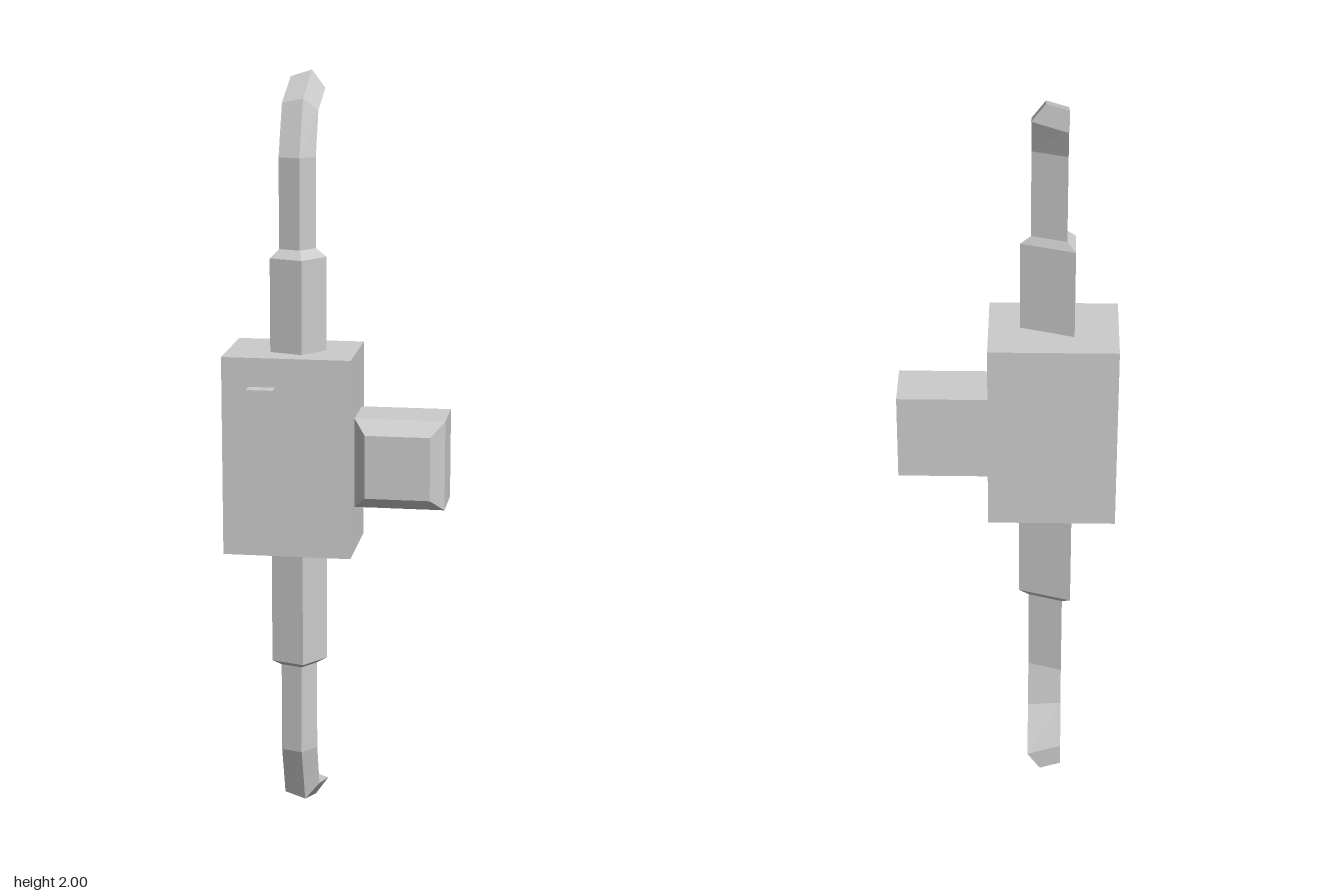
import * as THREE from 'three';

const material = new THREE.MeshStandardMaterial({ color: 0xcccccc, flatShading: true });

// Joins cross-sections of equal corner count, listed from bottom to top, into a closed solid
function loft(rings) {
  const pos = [];
  const tri = (...points) => points.forEach((p) => pos.push(...p));
  const n = rings[0].length;
  for (let i = 0; i + 1 < rings.length; i++) {
    for (let j = 0; j < n; j++) {
      const k = (j + 1) % n;
      const [a, b, c, d] = [rings[i][j], rings[i][k], rings[i + 1][k], rings[i + 1][j]];
      tri(a, d, b);
      tri(b, d, c);
    }
  }
  const first = rings[0], last = rings[rings.length - 1];
  for (let j = 1; j + 1 < n; j++) {
    tri(first[0], first[j], first[j + 1]);
    tri(last[0], last[j + 1], last[j]);
  }
  const geometry = new THREE.BufferGeometry();
  geometry.setAttribute('position', new THREE.Float32BufferAttribute(pos, 3));
  geometry.computeVertexNormals();
  return geometry;
}

// Pipe section: four corners of a pentagon (flat back), sheared between its front and back points
function pipeRing([radius, yFront, zFront, yBack, zBack]) {
  const zMax = Math.sin(Math.PI * 0.4), zMin = Math.sin(Math.PI * 1.2);
  return [0, 1, 2, 3].map((i) => {
    const a = i * Math.PI * 0.4;
    const t = (Math.sin(a) - zMin) / (zMax - zMin);
    return [
      -0.109 + radius * Math.cos(a),
      THREE.MathUtils.lerp(yBack, yFront, t),
      THREE.MathUtils.lerp(zBack, zFront, t),
    ];
  });
}

const sleeve = (y) => [0.077, y, 0.087, y, -0.031];
const pipe = (y) => [0.05, y, 0.062, y, -0.015];

export function createModel() {
  const group = new THREE.Group();
  const add = (name, geometry) => {
    const mesh = new THREE.Mesh(geometry, material);
    mesh.name = name;
    group.add(mesh);
    return mesh;
  };
  // Box given by its extents on each axis
  const box = (name, [x0, x1], [y0, y1], [z0, z1]) =>
    add(name, new THREE.BoxGeometry(x1 - x0, y1 - y0, z1 - z0))
      .position.set((x0 + x1) / 2, (y0 + y1) / 2, (z0 + z1) / 2);

  box('housing', [-0.284, 0.048], [0.78, 1.3], [-0.11, 0.14]);
  box('button', [-0.214, -0.145], [1.12, 1.225], [0.14, 0.178]);

  // Side block with a bevelled front
  const rect = (x0, x1, y0, y1, z) => [[x0, y0, z], [x0, y1, z], [x1, y1, z], [x1, y0, z]];
  add('sideBlock', loft([
    rect(0.048, 0.282, 0.9, 1.135, -0.072),
    rect(0.048, 0.282, 0.9, 1.135, 0.068),
    rect(0.08, 0.248, 0.934, 1.1, 0.11),
  ]));

  // Upper pipe: sleeve, shoulder, straight run, backward hook
  add('upperPipe', loft([
    sleeve(1.3), sleeve(1.542), pipe(1.564), pipe(1.797),
    [0.05, 1.94, 0.0, 1.888, -0.047],
    [0.05, 2.0, -0.146, 1.925, -0.146],
  ].map(pipeRing)));

  // Lower pipe, from the hook end up to the housing
  add('lowerPipe', loft([
    [0.05, 0.0, -0.18, 0.08, -0.18],
    [0.05, 0.06, 0.007, 0.117, -0.04],
    pipe(0.214), pipe(0.453), sleeve(0.468), sleeve(0.78),
  ].map(pipeRing)));

  return group;
}
